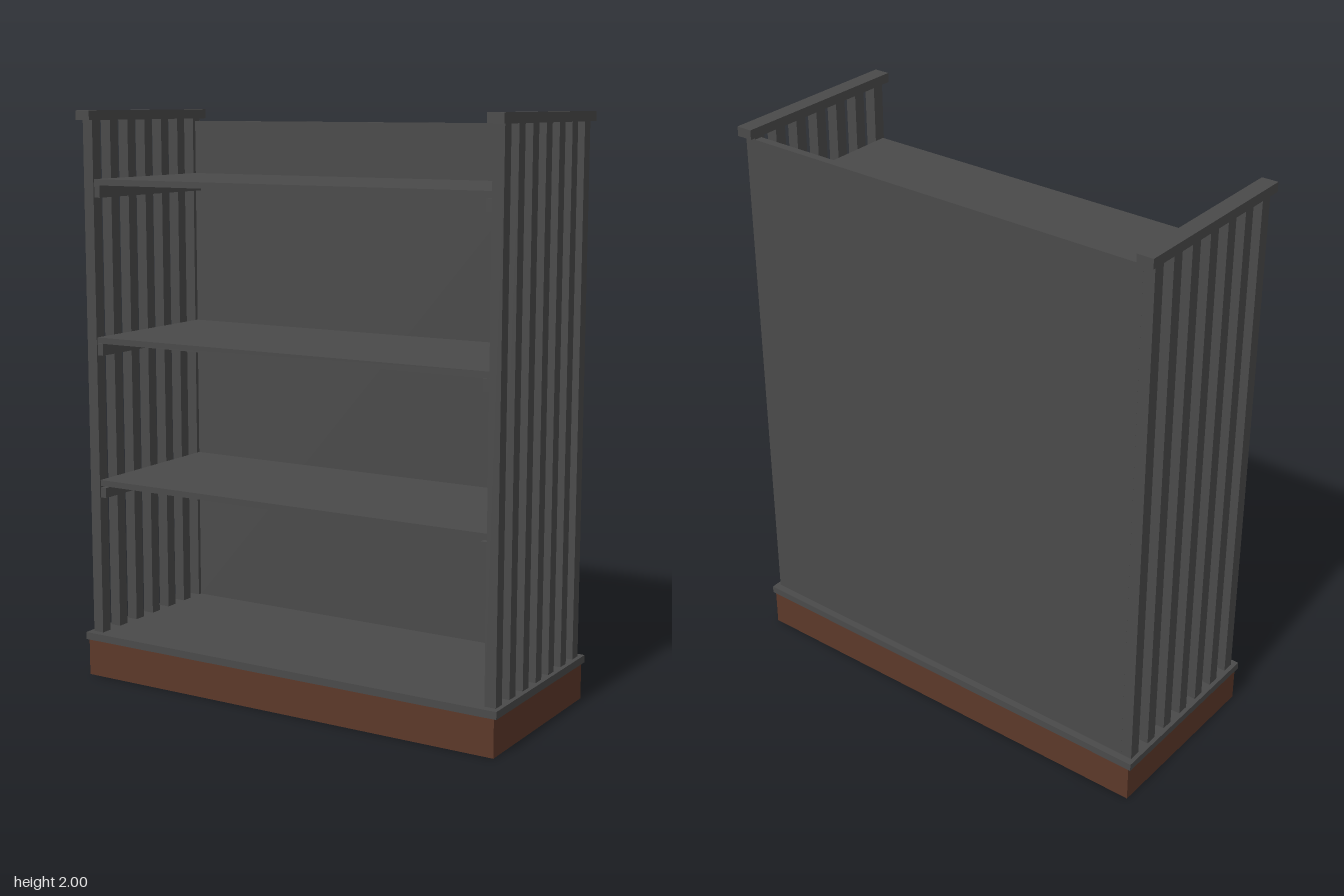
import * as THREE from 'three';

export function createModel() {
  const model = new THREE.Group();
  model.name = 'slattedBookcase';
  const charcoal = new THREE.MeshStandardMaterial({ color: 0x4a4a4a });
  charcoal.name = 'charcoal';
  const brown = new THREE.MeshStandardMaterial({ color: 0x5c3829 });
  brown.name = 'brown';

  // Box given by its lower and upper limits on each axis
  function box(name, [x0, x1], [y0, y1], [z0, z1], material = charcoal, parent = model) {
    const mesh = new THREE.Mesh(new THREE.BoxGeometry(x1 - x0, y1 - y0, z1 - z0), material);
    mesh.position.set((x0 + x1) / 2, (y0 + y1) / 2, (z0 + z1) / 2);
    mesh.name = name;
    parent.add(mesh);
  }

  // Plinth, its top board and the back panel
  box('plinth', [-0.805, 0.805], [0, 0.13], [-0.337, 0.337], brown);
  box('baseBoard', [-0.815, 0.815], [0.13, 0.156], [-0.341, 0.341]);
  box('backPanel', [-0.76, 0.76], [0.156, 1.958], [-0.315, -0.286]);

  // Shelves
  const shelfTops = [0.713, 1.22, 1.767];
  for (const top of shelfTops) {
    box('shelf', [-0.76, 0.76], [top - 0.021, top], [-0.286, 0.31]);
  }

  // Slatted sides with top rails and shelf cleats
  for (const side of [-1, 1]) {
    const group = new THREE.Group();
    group.name = side > 0 ? 'leftSide' : 'rightSide';
    const span = (a, b) => (side > 0 ? [a, b] : [-b, -a]);
    for (let i = -3; i <= 3; i++) {
      const z = i * 0.0978;
      box('slat', span(0.76, 0.8), [0.156, 1.967], [z - 0.0215, z + 0.0215], charcoal, group);
    }
    box('topRail', span(0.752, 0.81), [1.967, 2], [-0.341, 0.341], charcoal, group);
    shelfTops.forEach((top, i) => {
      const gap = i === 0 ? 0.006 : 0.001;
      box('cleat', span(0.737, 0.76), [top - 0.063, top - 0.021 - gap], [-0.286, 0.31], charcoal, group);
    });
    model.add(group);
  }
  return model;
}
